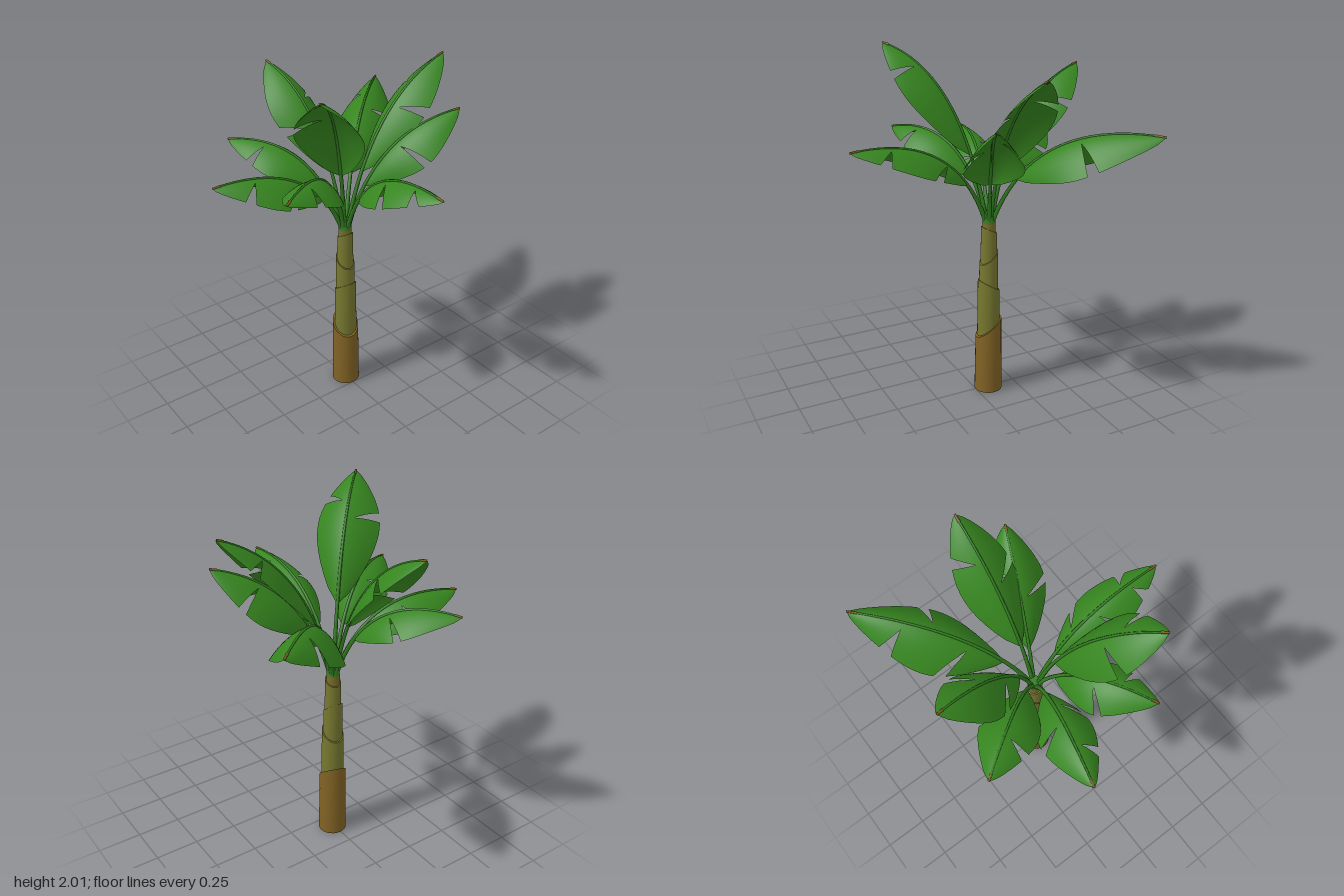
import * as THREE from 'three';

const V = (x, y, z) => new THREE.Vector3(x, y, z);
const mat = (name, color, side = THREE.FrontSide) => {
  const m = new THREE.MeshStandardMaterial({ color, side });
  m.name = name;
  return m;
};

const CX = -0.08, CZ = -0.005, CROWN = 1.03;

// tip position, arch (height of the bend), width, droop of the edges, tears on the left and right half
const LEAVES = [
  { tip: [-0.705, 1.61, -0.705], arch: 1.1, width: 0.2, droop: 0.62, left: [0.28, 0.7], right: [0.53] },
  { tip: [-0.05, 1.935, -0.65], arch: 0.8, width: 0.175, droop: 0.32, left: [0.65], right: [0.46] },
  { tip: [0.18, 1.70, -0.58], arch: 0.87, width: 0.175, droop: 0.58, left: [0.6], right: [0.42] },
  { tip: [0.705, 1.53, 0.0], arch: 1.14, width: 0.162, droop: 0.42, left: [0.25, 0.73], right: [0.47, 0.78] },
  { tip: [0.34, 2.0, 0.445], arch: 0.88, width: 0.195, droop: 0.33, left: [0.66], right: [0.52] },
  { tip: [0.25, 1.50, 0.58], arch: 1.28, width: 0.17, droop: 0.42, left: [0.7], right: [0.47] },
  { tip: [-0.25, 1.43, 0.705], arch: 1.25, width: 0.165, droop: 0.48, left: [0.27, 0.7], right: [0.48] },
  { tip: [-0.64, 1.49, 0.385], arch: 1.22, width: 0.175, droop: 0.36, left: [0.66], right: [0.42] },
  { tip: [-0.68, 1.87, 0.09], arch: 0.87, width: 0.175, droop: 0.36, left: [0.28], right: [0.53] },
];

// Grid surface from a point rule
function grid(nu, nv, rule) {
  const pos = [], idx = [];
  for (let i = 0; i <= nu; i++) {
    for (let j = 0; j <= nv; j++) {
      pos.push(...rule(i / nu, j / nv).toArray());
      if (i < nu && j < nv) {
        const a = i * (nv + 1) + j, b = a + nv + 1;
        idx.push(a, b, a + 1, b, b + 1, a + 1);
      }
    }
  }
  const g = new THREE.BufferGeometry();
  g.setAttribute('position', new THREE.Float32BufferAttribute(pos, 3));
  g.setIndex(idx);
  g.computeVertexNormals();
  return g;
}

// Tube that narrows from r0 to r1
function taperedTube(curve, r0, r1, n = 20, sides = 6) {
  const g = new THREE.TubeGeometry(curve, n, r0, sides), p = g.attributes.position;
  const v = V(0, 0, 0);
  for (let k = 0; k < p.count; k++) {
    const t = Math.floor(k / (sides + 1)) / n;
    const c = curve.getPointAt(t);
    v.fromBufferAttribute(p, k).sub(c).multiplyScalar(1 + (r1 / r0 - 1) * Math.sqrt(t)).add(c);
    p.setXYZ(k, v.x, v.y, v.z);
  }
  return g;
}

function makeLeaf({ tip, arch, width, droop, left, right }, bladeMat, ribMat, tipMat) {
  const leaf = new THREE.Group();
  leaf.name = 'leaf';
  const end = V(...tip);
  const out = V(end.x - CX, 0, end.z - CZ);
  const heading = out.clone().normalize();
  const base = V(CX, CROWN, CZ).addScaledVector(heading, 0.014);
  const bend = V(CX, CROWN + (end.y - CROWN) * arch, CZ).addScaledVector(out, 0.25);
  const curve = new THREE.QuadraticBezierCurve3(base, bend, end);
  const side = V(heading.z, 0, -heading.x);

  const rib = new THREE.Mesh(taperedTube(curve, 0.016, 0.005), ribMat);
  rib.name = 'leafStalk';
  leaf.add(rib);

  // Dry end of the midrib
  const dryCurve = new THREE.LineCurve3(curve.getPoint(0.96), end);
  const dry = new THREE.Mesh(taperedTube(dryCurve, 0.008, 0.006, 3), tipMat);
  dry.name = 'dryTip';
  leaf.add(dry);

  // Blade point: u runs along the midrib, v from midrib to edge
  const START = 0.25;
  const bladePoint = (u, v, sign) => {
    const t = START + (1 - START) * u;
    const up = curve.getTangent(t).cross(side).normalize();
    const w = width * Math.pow(Math.max(0, Math.sin(Math.PI * u)), 0.7);
    return curve.getPoint(t)
      .addScaledVector(side, sign * w * v * 0.88)
      .addScaledVector(up, -w * (0.25 * v + droop * v * v));
  };

  // Each half is a row of strips parted by wedge-shaped tears
  for (const [sign, tears] of [[1, left], [-1, right]]) {
    const cuts = [0, ...tears, 1];
    for (let k = 0; k < cuts.length - 1; k++) {
      const a = cuts[k], b = cuts[k + 1];
      const geo = grid(10, 8, (s, v) => {
        const open = Math.max(0, v - 0.25) / 0.75;
        const from = a + (k > 0 ? 0.085 * open : 0);
        const u = from + (b - from) * s;
        return bladePoint(Math.min(1, u + 0.2 * v * u * (1 - u)), v, sign);
      });
      const blade = new THREE.Mesh(geo, bladeMat);
      blade.name = 'leafBlade';
      leaf.add(blade);
    }
  }
  return leaf;
}

// Trunk sheath with a slanted rim; slope is the rise per unit of x and z
function makeSheath(name, y0, y1, r0, r1, slopeX, slopeZ, material) {
  const g = new THREE.CylinderGeometry(r1, r0, y1 - y0, 24, 1);
  const p = g.attributes.position;
  for (let i = 0; i < p.count; i++) {
    if (p.getY(i) > 0) p.setY(i, p.getY(i) + slopeX * p.getX(i) + slopeZ * p.getZ(i));
  }
  g.computeVertexNormals();
  const m = new THREE.Mesh(g, material);
  m.name = name;
  m.position.set(CX, (y0 + y1) / 2, CZ);
  return m;
}

export function createModel() {
  const model = new THREE.Group();
  model.name = 'bananaPlant';
  const bark = mat('brown bark', 0x816224);
  const stem = mat('olive stem', 0x76772f);
  const topBark = mat('upper bark', 0x7a6a2a);
  const stalk = mat('stalk green', 0x327c20);
  const green = mat('leaf green', 0x36851f, THREE.DoubleSide);
  const dry = mat('dry tip', 0x7a5a24);

  // Trunk of overlapping sheaths
  const trunk = new THREE.Group();
  trunk.name = 'trunk';
  trunk.add(
    makeSheath('baseSheath', 0, 0.4, 0.081, 0.075, -0.75, -0.25, bark),
    makeSheath('lowerSheath', 0.3, 0.665, 0.066, 0.062, 0.6, 0, stem),
    makeSheath('middleSheath', 0.55, 0.835, 0.056, 0.053, -0.75, 0, stem),
    makeSheath('upperSheath', 0.74, 1.0, 0.048, 0.044, 0.5, 0, stem),
    makeSheath('topSheath', 0.94, 1.05, 0.04, 0.036, 0, 0, topBark),
    makeSheath('crown', 1.04, 1.1, 0.037, 0.03, 0, 0, stalk),
  );
  model.add(trunk);

  // Leaves around the crown
  const crownLeaves = new THREE.Group();
  crownLeaves.name = 'leaves';
  for (const spec of LEAVES) crownLeaves.add(makeLeaf(spec, green, stalk, dry));
  model.add(crownLeaves);
  return model;
}
